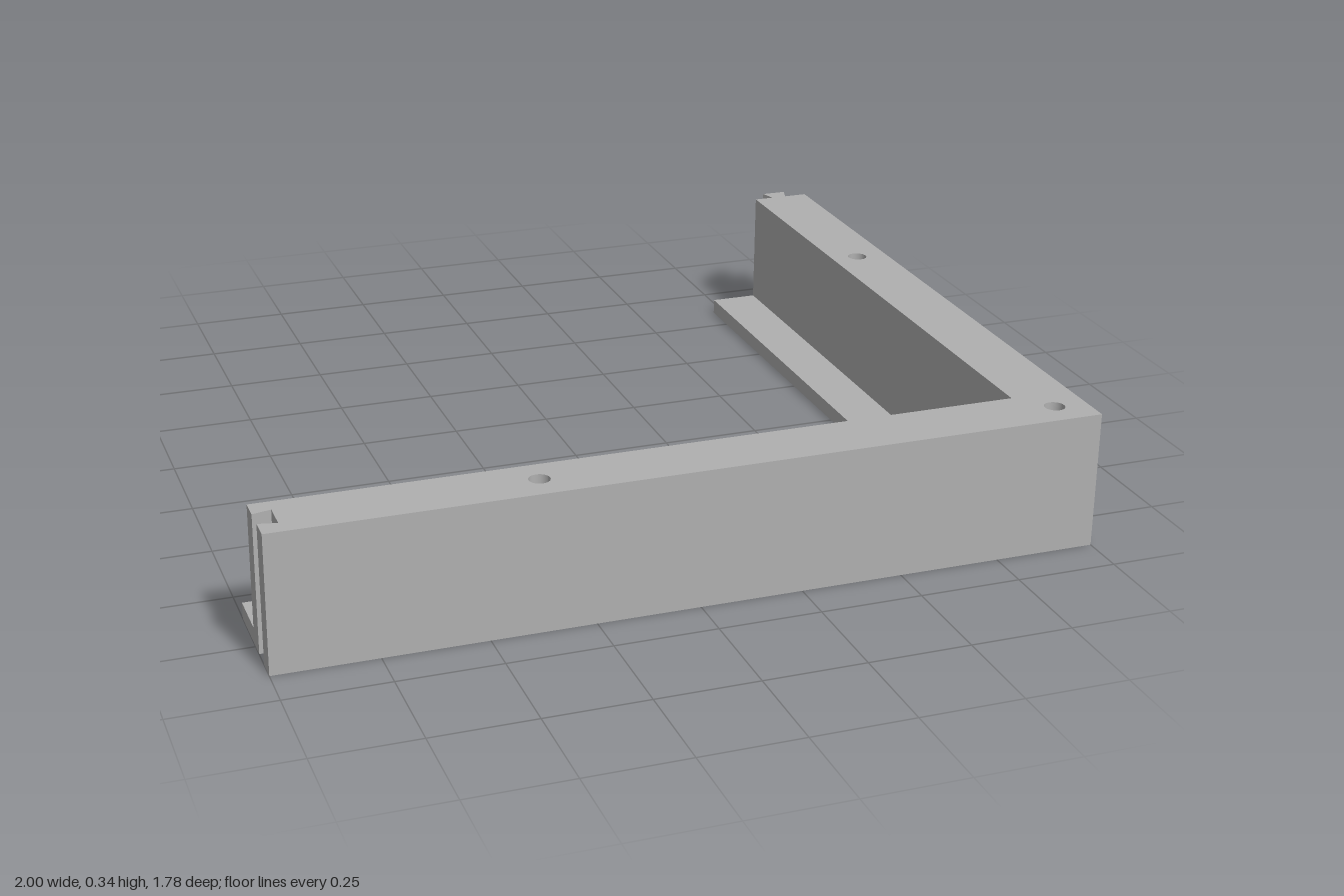
import * as THREE from 'three';

const HEIGHT = 0.34, LIP = 0.04;   // wall height, base plate thickness
const ARM = 0.918, FRONT = 0.812;  // centre lines of the side arm (x) and front arm (z)

// L-shaped outline with a dovetail tongue at the back and a matching groove at the left end
function outline(innerX, innerZ) {
  const points = [
    [-1, 0.89], [1, 0.89], [1, -0.85],
    [ARM + 0.02, -0.85], [ARM + 0.033, -0.89], [ARM - 0.033, -0.89], [ARM - 0.02, -0.85],
    [innerX, -0.85], [innerX, innerZ], [-1, innerZ],
    [-1, FRONT - 0.025], [-0.955, FRONT - 0.035], [-0.955, FRONT + 0.035], [-1, FRONT + 0.025],
  ];
  return new THREE.Shape(points.map(([x, z]) => new THREE.Vector2(x, -z)));
}

function drill(shape, centres, radius) {
  for (const [x, z] of centres) {
    const hole = new THREE.Path();
    hole.absarc(x, -z, radius, 0, Math.PI * 2, true);
    shape.holes.push(hole);
  }
}

// Extrude a plan shape upwards from y = bottom
function slab(name, shape, bottom, height, material) {
  const geometry = new THREE.ExtrudeGeometry(shape, { depth: height, bevelEnabled: false, curveSegments: 32 });
  geometry.rotateX(-Math.PI / 2);
  geometry.translate(0, bottom, 0);
  const mesh = new THREE.Mesh(geometry, material);
  mesh.name = name;
  return mesh;
}

export function createModel() {
  const grey = new THREE.MeshStandardMaterial({ color: 0xb0b0b0 });
  grey.name = 'plain grey';

  const boltHoles = [[ARM, FRONT], [ARM, -0.3], [-0.36, FRONT]];
  const blindHoles = [[ARM, 0.266], [ARM, -0.568], [0.28, FRONT], [-0.673, FRONT]];

  // Wide base plate: counterbores for the bolts and blind sockets underneath
  const base = outline(0.72, 0.61);
  drill(base, boltHoles, 0.04);
  drill(base, blindHoles, 0.032);

  // Upright walls with through holes
  const walls = outline(0.845, 0.735);
  drill(walls, boltHoles, 0.025);

  const model = new THREE.Group();
  model.name = 'cornerFrame';
  model.add(
    slab('basePlate', base, 0, LIP, grey),
    slab('cornerWalls', walls, LIP, HEIGHT - LIP, grey),
  );
  return model;
}
